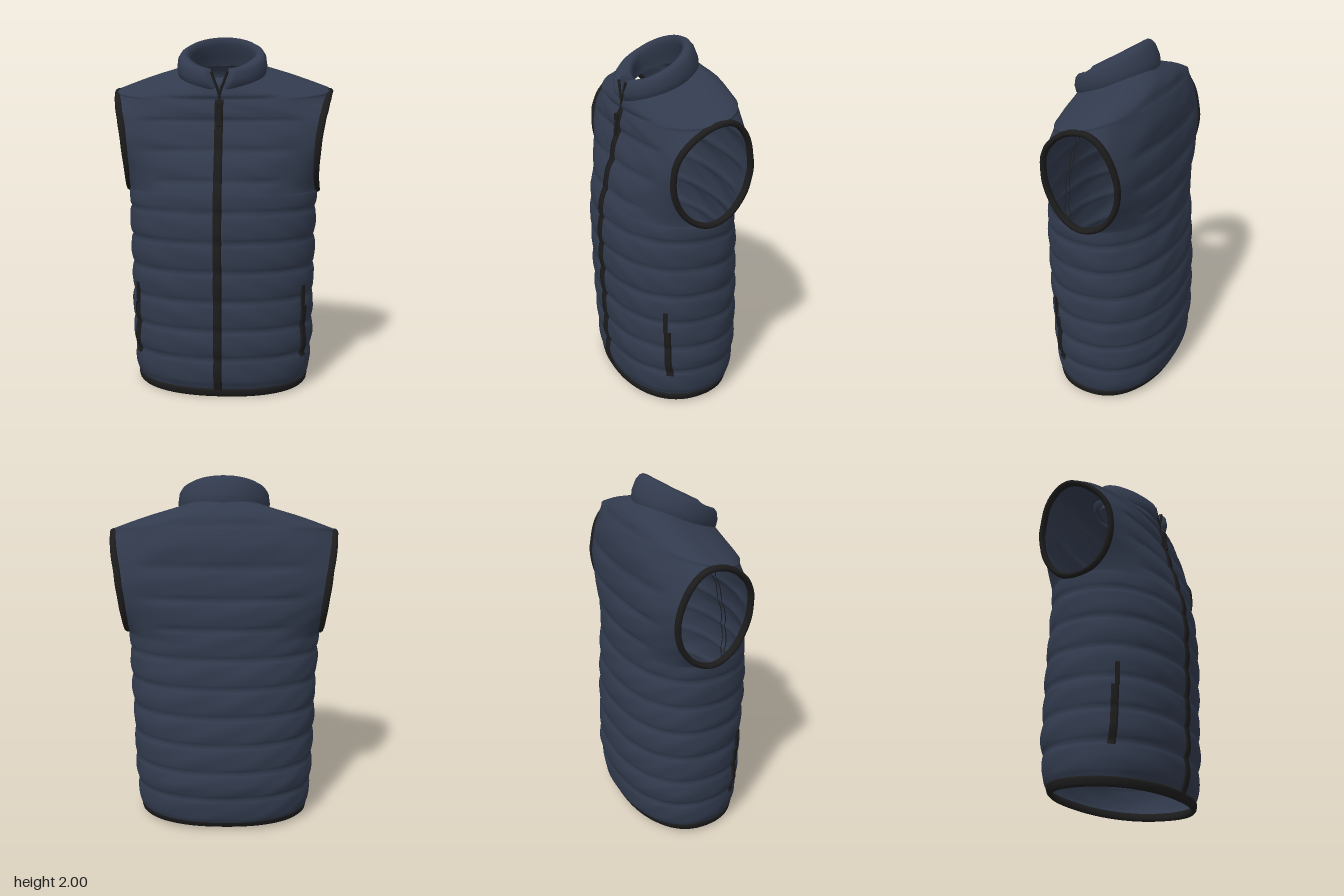
import * as THREE from 'three';
import { mergeGeometries, mergeVertices } from 'three/addons/utils/BufferGeometryUtils.js';

const { lerp, smoothstep, clamp } = THREE.MathUtils;

// Torso profile: [level, half width, front z, back z]
const PROFILE = [
  [0.0, 0.485, 0.32, -0.32], [0.06, 0.495, 0.33, -0.342], [0.3, 0.512, 0.35, -0.37],
  [0.6, 0.515, 0.358, -0.36], [0.9, 0.52, 0.367, -0.342], [1.05, 0.525, 0.36, -0.325],
  [1.13, 0.527, 0.35, -0.32], [1.3, 0.54, 0.31, -0.315], [1.5, 0.565, 0.25, -0.3],
  [1.62, 0.583, 0.235, -0.284], [1.7, 0.592, 0.228, -0.258], [1.76, 0.412, 0.228, -0.225],
  [1.81, 0.235, 0.23, -0.185], [1.825, 0.205, 0.205, -0.155],
];
const TOP = 1.825;
const N = 2.25;                                     // squareness of the cross-sections
const ZC = -0.017;                                  // z of the side seam
const HOLE = { y: 1.412, a: 0.204, b: 0.277 };      // armhole ellipse
const QUILT = 0.164;                                // height of one padded row

// Cross-section of one half at a level. Beside the armhole the arc is widened so that
// its cut edge lies at the profile's half width.
function section(s, front) {
  let i = 1;
  while (i < PROFILE.length - 1 && s > PROFILE[i][0]) i++;
  const p = PROFILE[i - 1], q = PROFILE[i];
  const t = clamp((s - p[0]) / (q[0] - p[0]), 0, 1);
  const [, w, zf, zb] = p.map((v, k) => lerp(v, q[k], t));
  const depth = front ? zf - ZC : ZC - zb;
  const open = Math.sqrt(Math.max(0, 1 - ((s - HOLE.y) / HOLE.b) ** 2));
  const cut = (HOLE.a * open / depth) ** N;
  const edgeX = w * (1 - (front ? 0.05 : 0.01) * open);
  return { w: edgeX / (1 - cut) ** (1 / N), depth, edge: Math.asin(Math.sqrt(cut)) };
}

// Padding bulge of the quilted rows: faint wrinkles, flat along the armholes and under the collar
function puff(s, phi) {
  const ends = smoothstep(s, 0.03, 0.08) * (1 - smoothstep(s, 1.72, 1.8));
  const flat = smoothstep(Math.abs(Math.cos(phi)), 0.4, 0.68) * smoothstep(s, 1.05, 1.2);
  const bulge = lerp(Math.sqrt(Math.abs(Math.sin(Math.PI * (s - 0.06) / QUILT))), 0.6, flat);
  const wrinkle = Math.sin(Math.cos(phi) * 11 + s * 31) * Math.sin(Math.sin(phi) * 7 - s * 17);
  return ends * (0.004 + bulge * (0.015 + 0.003 * wrinkle));
}

// Point on the torso: level s, angle phi (0 = left side, PI/2 = front), offset outwards
function torso(s, phi, out = 0) {
  const c = Math.cos(phi), d = Math.sin(phi);
  const { w, depth } = section(s, d >= 0);
  const o = puff(s, phi) + out;
  const x = Math.sign(c) * (w + o) * Math.abs(c) ** (2 / N);
  const z = ZC + Math.sign(d) * (depth + o) * Math.abs(d) ** (2 / N);
  const tilt = 0.36 * smoothstep(s, 1.48, 1.85);
  return new THREE.Vector3(x, s - tilt * z, z);
}

// Front angle at a given x
function phiAtX(s, x) {
  return Math.acos(Math.sign(x) * (Math.abs(x) / section(s, true).w) ** (N / 2));
}

// Surface from a grid of points
function grid(rows, cols, fn) {
  const pos = [], idx = [];
  for (let i = 0; i <= rows; i++) for (let j = 0; j <= cols; j++) {
    pos.push(...fn(i, j).toArray());
    if (i < rows && j < cols) {
      const a = i * (cols + 1) + j, b = a + cols + 1;
      idx.push(a, b, a + 1, b, b + 1, a + 1);
    }
  }
  const g = new THREE.BufferGeometry();
  g.setAttribute('position', new THREE.Float32BufferAttribute(pos, 3));
  g.setIndex(idx);
  return g;
}

function smooth(parts) {
  const g = mergeVertices(mergeGeometries(parts), 1e-4);
  g.computeVertexNormals();
  return g;
}

// Point on the collar: height 0..1, offset outwards, angle from the front
function collarPoint(h, off, a) {
  const zc = 0.027 + 0.025 * h, rz = 0.208 - 0.026 * h;
  const z = zc + rz * Math.cos(a);
  const y = lerp(1.78 - 0.36 * z, 1.932 - 0.53 * z, h);
  return new THREE.Vector3((0.228 + off) * Math.sin(a), y, zc + (rz + off) * Math.cos(a));
}
const collarGap = (h) => 0.035 + 0.2 * h;

export function createModel() {
  const fabric = new THREE.MeshStandardMaterial({ color: 0x323b4e, side: THREE.DoubleSide });
  fabric.name = 'navy fabric';
  const trim = new THREE.MeshStandardMaterial({ color: 0x1c1c1c, side: THREE.DoubleSide });
  trim.name = 'black trim';
  const model = new THREE.Group();
  model.name = 'quiltedVest';
  const add = (name, geometry, material) => {
    const m = new THREE.Mesh(geometry, material);
    m.name = name;
    model.add(m);
    return m;
  };

  // Padded torso: front and back panels, parted at the armholes
  const levels = [0.03, 1.1355, 1.14, 1.684, 1.6885, 1.81, TOP];
  for (let s = 0.06; s < 1.8; s += QUILT / 10) levels.push(s);
  levels.sort((p, q) => p - q);
  const panel = (side) => grid(levels.length - 1, 64, (i, j) => {
    const e = section(levels[i], side > 0).edge;
    const u = side > 0 ? j / 64 : 1 - j / 64;
    return torso(levels[i], side * (e + (Math.PI - 2 * e) * u));
  });
  add('torso', smooth([panel(1), panel(-1)]), fabric);

  // Armhole bindings
  for (const side of [1, -1]) {
    const rim = grid(72, 10, (i, j) => {
      const t = (i / 72) * Math.PI * 2, k = (j / 10) * Math.PI * 2;
      const s = HOLE.y + HOLE.b * Math.sin(t), front = Math.cos(t) >= 0;
      const p = torso(s, (front ? 1 : -1) * section(s, front).edge);
      const r = 0.016 * Math.sin(k);
      return new THREE.Vector3(side * (p.x + 0.021 * Math.cos(k)), p.y + r * Math.sin(t), p.z + r * Math.cos(t));
    });
    add(side > 0 ? 'leftArmholeBinding' : 'rightArmholeBinding', smooth([rim]), trim);
  }

  // Hem binding, a little higher at the back
  const hem = [[0.045, -0.01], [0.046, 0.006], [0.035, 0.012], [0.012, 0.012], [0, 0.004], [0, -0.008], [0.02, -0.014], [0.045, -0.01]];
  add('hemBinding', smooth([grid(96, hem.length - 1, (i, j) => {
    const p = torso(hem[j][0], (i / 96) * Math.PI * 2, hem[j][1]);
    p.y += 0.012 - 0.036 * p.z;
    return p;
  })]), trim);

  // Rolled stand-up collar, open at the front: [height, offset]
  const roll = [[0, 0], [0.15, 0.018], [0.45, 0.025], [0.8, 0.018], [0.95, 0.004], [1, -0.014], [0.96, -0.034],
    [0.7, -0.046], [0.35, -0.033], [0, -0.03]];
  add('collar', smooth([grid(90, roll.length - 1, (i, j) => {
    const [h, o] = roll[j], u = i / 90, gap = collarGap(h);
    const a = gap + (Math.PI * 2 - 2 * gap) * u;
    const full = smoothstep(Math.min(u, 1 - u), 0, 0.025);
    const thick = o < 0 ? o * (1 + 1.1 * Math.max(0, Math.cos(a))) : o;
    return collarPoint(h, lerp(-0.012, thick, full), a);
  })]), fabric);

  // Placket leaning inwards behind the collar opening
  add('collarPlacket', smooth([grid(6, 12, (i, j) =>
    collarPoint(0.6 * i / 6, -0.012 - 0.075 * i / 6, (j / 6 - 1) * 0.3))]), fabric);

  // Zip tapes along both collar edges
  for (const side of [1, -1]) {
    const path = [0, 0.3, 0.6, 0.85].map((h) =>
      collarPoint(h, -0.012, side * collarGap(h)).add(new THREE.Vector3(0, 0, 0.012)));
    path.unshift(torso(1.7, Math.PI / 2, 0.006));
    add(side > 0 ? 'leftCollarZip' : 'rightCollarZip',
      new THREE.TubeGeometry(new THREE.CatmullRomCurve3(path), 16, 0.008, 6), trim);
  }

  // Raised strip lying on the front of the torso
  const strip = (x0, x1, y0, y1, rows) => smooth([grid(rows, 5, (i, j) => {
    const s = y0 + (y1 - y0) * i / rows;
    const x = x0 + (x1 - x0) * [0, 0, 0.3, 0.7, 1, 1][j];
    return torso(s, phiAtX(s, x), j === 0 || j === 5 ? -0.006 : 0.009);
  })]);
  add('frontZip', strip(-0.022, 0.022, 0.02, 1.7, 100), trim);

  // Front zip slider and pull
  const slider = add('zipSlider', new THREE.BoxGeometry(0.034, 0.04, 0.02), trim);
  slider.position.copy(torso(1.64, Math.PI / 2, 0.014));
  const pull = add('zipPull', new THREE.BoxGeometry(0.02, 0.11, 0.012), trim);
  pull.position.copy(torso(1.57, Math.PI / 2, 0.014));
  pull.rotation.x = -0.12;

  // Side pocket zips with pulls
  for (const side of [1, -1]) {
    const name = side > 0 ? 'left' : 'right';
    add(name + 'PocketZip', strip(side * 0.442, side * 0.464, 0.2, 0.5, 30), trim);
    const tab = add(name + 'PocketPull', new THREE.BoxGeometry(0.022, 0.12, 0.014), trim);
    tab.position.copy(torso(0.56, phiAtX(0.56, side * 0.448), 0.01));
    tab.rotation.y = side * 0.9;
  }
  return model;
}
